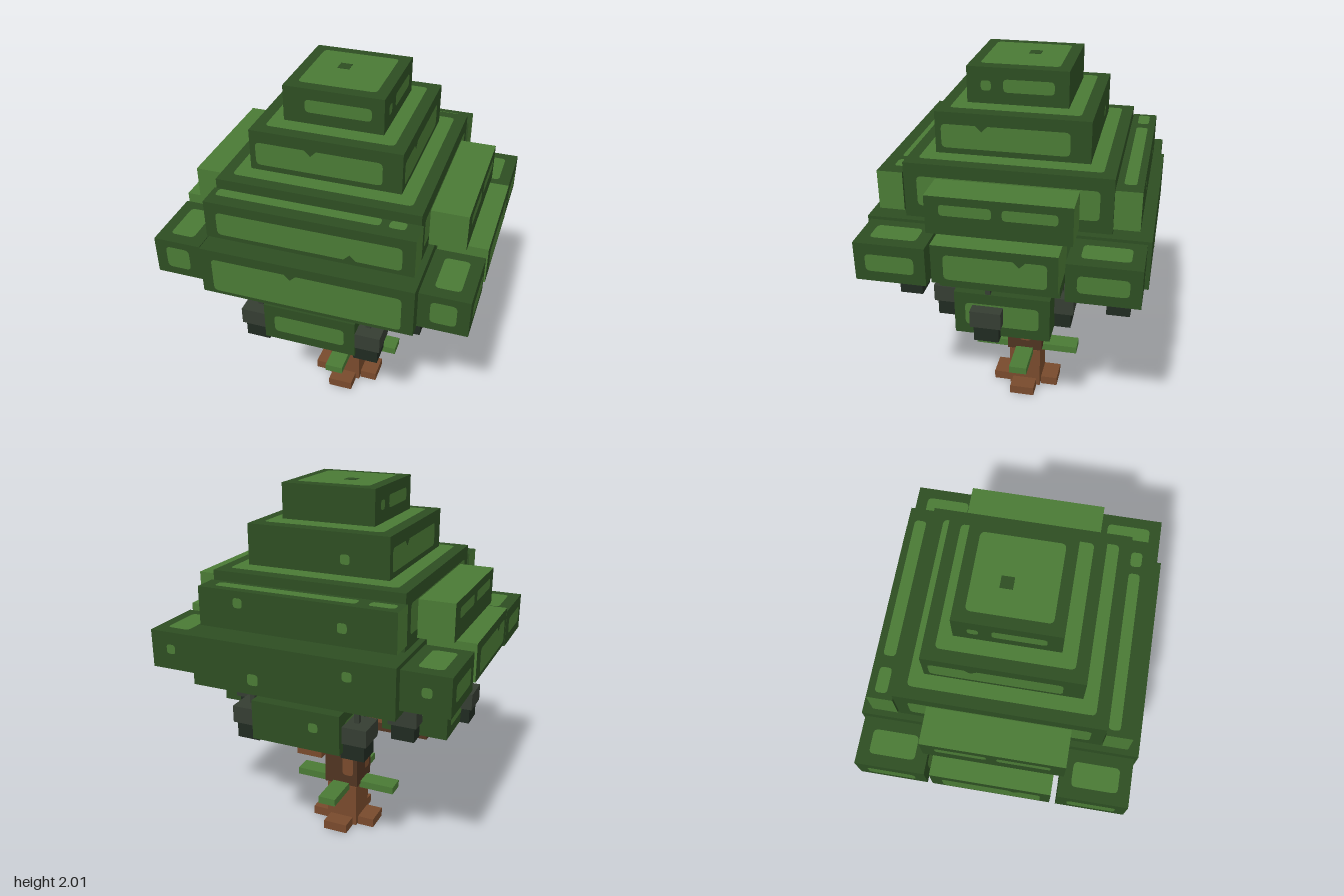
import * as THREE from 'three';

const mat = (name, color) => Object.assign(new THREE.MeshStandardMaterial({ color }), { name });
const darkLeaf = mat('dark leaf green', 0x2d4d22);
const lightLeaf = mat('light leaf green', 0x4a7a35);
const darkBark = mat('dark bark', 0x4f3321);
const lightBark = mat('light bark', 0x784a2c);
const lanternGrey = mat('lantern cap grey', 0x353d32);
const lanternDark = mat('lantern body dark', 0x202a21);

// Rounded patch, optionally with a small notch [u, 1 = top edge / -1 = bottom edge]
function patchShape(u0, u1, v0, v1, notch) {
  const r = Math.min(0.025, (u1 - u0) / 3, (v1 - v0) / 3);
  const s = new THREE.Shape();
  s.moveTo(u0 + r, v0);
  if (notch && notch[1] < 0) {
    s.lineTo(notch[0] - 0.03, v0);
    s.lineTo(notch[0], v0 + 0.03);
    s.lineTo(notch[0] + 0.03, v0);
  }
  s.lineTo(u1 - r, v0);
  s.quadraticCurveTo(u1, v0, u1, v0 + r);
  s.lineTo(u1, v1 - r);
  s.quadraticCurveTo(u1, v1, u1 - r, v1);
  if (notch && notch[1] > 0) {
    s.lineTo(notch[0] + 0.03, v1);
    s.lineTo(notch[0], v1 - 0.03);
    s.lineTo(notch[0] - 0.03, v1);
  }
  s.lineTo(u0 + r, v1);
  s.quadraticCurveTo(u0, v1, u0, v1 - r);
  s.lineTo(u0, v0 + r);
  s.quadraticCurveTo(u0, v0, u0 + r, v0);
  return s;
}

// Per side: turn, outward distance and the face limits as u (right) and v (up)
const faces = {
  front: { turn: g => g, at: b => b[5], lim: b => [b[0], b[1], b[2], b[3]] },
  back: { turn: g => g.rotateY(Math.PI), at: b => -b[4], lim: b => [-b[1], -b[0], b[2], b[3]] },
  right: { turn: g => g.rotateY(Math.PI / 2), at: b => b[1], lim: b => [-b[5], -b[4], b[2], b[3]] },
  left: { turn: g => g.rotateY(-Math.PI / 2), at: b => -b[0], lim: b => [b[4], b[5], b[2], b[3]] },
  top: { turn: g => g.rotateX(-Math.PI / 2), at: b => b[3], lim: b => [b[0], b[1], -b[5], -b[4]] },
  bottom: { turn: g => g.rotateX(Math.PI / 2), at: b => -b[2], lim: b => [b[0], b[1], b[4], b[5]] },
};

export function createModel() {
  const model = new THREE.Group();
  model.name = 'blockTree';

  // Box from limits [x0,x1,y0,y1,z0,z1] with patches per side: list of rectangles, or an inset number
  function block(name, b, material, patches = {}, patchMat = lightLeaf) {
    const group = new THREE.Group();
    group.name = name;
    const geo = new THREE.BoxGeometry(b[1] - b[0], b[3] - b[2], b[5] - b[4]);
    geo.translate((b[0] + b[1]) / 2, (b[2] + b[3]) / 2, (b[4] + b[5]) / 2);
    const box = new THREE.Mesh(geo, material);
    box.name = name + 'Block';
    group.add(box);
    for (const [side, value] of Object.entries(patches)) {
      const f = faces[side], l = f.lim(b);
      const rects = typeof value === 'number'
        ? [[l[0] + value, l[1] - value, l[2] + value, l[3] - value]] : value;
      for (const [u0, u1, v0, v1, notch] of rects) {
        const g = new THREE.ShapeGeometry(patchShape(u0, u1, v0, v1, notch), 4);
        g.translate(0, 0, f.at(b) + 0.003);
        const patch = new THREE.Mesh(f.turn(g), patchMat);
        patch.name = name + 'Patch';
        group.add(patch);
      }
    }
    model.add(group);
    return group;
  }
  const spot = (u, v, r = 0.025) => [u - r, u + r, v - r, v + r];

  // Trunk
  const strip = [[0.01, 0.075, 0.33, 0.96]];
  block('lowerTrunk', [-0.09, 0.09, 0, 0.255, -0.09, 0.09], lightBark);
  block('upperTrunk', [-0.1, 0.1, 0.265, 1.0, -0.1, 0.1], darkBark,
    { front: strip, back: strip, left: strip, right: [[-0.03, 0.04, 0.33, 0.96]] }, lightBark);
  block('trunkTop', [-0.08, 0.08, 1.0, 1.045, -0.08, 0.08], lightBark);

  // Four-way roots, sprigs, branches
  for (let i = 0; i < 4; i++) {
    const arm = (name, b, m, p, pm) => { block(name, b, m, p, pm).rotation.y = i * Math.PI / 2; };
    arm('root', [0.095, 0.19, 0, 0.052, -0.07, 0.07], lightBark);
    arm('sprig', [0.095, 0.3, 0.238, 0.28, -0.05, 0.05],
      [lightLeaf, lightLeaf, lightLeaf, darkLeaf, lightLeaf, lightLeaf]);
    if (i % 2) arm('branch', [0.105, 0.5, 0.65, 0.77, -0.07, 0.07],
      [lightBark, lightBark, lightBark, darkBark, lightBark, lightBark]);
    else arm('branch', [0.105, 0.495, 0.64, 0.765, -0.07, 0.07],
      darkBark, { front: [[0.16, 0.47, 0.69, 0.75]], back: [[-0.47, -0.16, 0.69, 0.75]], right: 0.03 }, lightBark);
  }

  // Lower leaf clusters around the branches
  const cluster = (b, back) => block('lowerCluster', b, darkLeaf,
    { front: 0.055, left: 0.055, right: 0.055, top: 0.06, back,
      bottom: [spot((b[0] + b[1]) / 2 + 0.05, (b[4] + b[5]) / 2)] });
  cluster([-0.24, 0.24, 0.775, 0.985, 0.3, 0.655], [spot(0.1, 0.9)]);
  cluster([-0.24, 0.24, 0.775, 0.985, -0.655, -0.3], [spot(0.1, 0.9)]);
  cluster([0.3, 0.655, 0.75, 0.985, -0.24, 0.24], [spot(-0.45, 0.88)]);
  cluster([-0.655, -0.3, 0.75, 0.985, -0.24, 0.24], [spot(0.5, 0.88)]);

  // Wide canopy layer
  block('wideCanopy', [-0.54, 0.54, 1.04, 1.3, -0.7, 0.7], darkLeaf,
    { front: [[-0.48, 0.48, 1.06, 1.25, [-0.07, 1]]], back: [spot(0.3, 1.22), spot(-0.2, 1.12, 0.03)],
      bottom: [spot(-0.3, 0.45), spot(0.3, -0.4)] });
  // Second canopy layer with its front and back slabs
  block('secondCanopy', [-0.51, 0.51, 1.305, 1.59, -0.51, 0.51], darkLeaf,
    { top: 0.06, left: 0.065, right: 0.065 });
  const ends = [lightLeaf, lightLeaf, darkLeaf, darkLeaf, darkLeaf, darkLeaf];
  block('frontSlab', [-0.52, 0.52, 1.34, 1.54, 0.512, 0.64], ends,
    { front: [[-0.46, 0.46, 1.365, 1.49, [0.21, -1]]],
      top: [[-0.49, 0.33, -0.575, -0.518], [0.37, 0.45, -0.575, -0.518]] });
  block('backSlab', [-0.52, 0.52, 1.34, 1.54, -0.64, -0.512], ends,
    { back: [spot(0.25, 1.43), spot(-0.3, 1.48)],
      top: [[-0.49, -0.36, 0.545, 0.605], [-0.3, 0.45, 0.545, 0.605]] });
  // Third layer and crown
  const thirdSide = [[-0.35, 0.28, 1.63, 1.75, [-0.15, 1]]];
  block('thirdCanopy', [-0.38, 0.38, 1.6, 1.81, -0.38, 0.38], darkLeaf,
    { front: [[-0.35, 0.285, 1.63, 1.75, [-0.07, 1]]], left: thirdSide, right: thirdSide,
      back: [spot(0.15, 1.68)], top: 0.06 });
  const crownSide = [spot(-0.155, 1.91), [-0.07, 0.18, 1.88, 1.945]];
  block('crown', [-0.25, 0.25, 1.82, 2, -0.25, 0.25], darkLeaf,
    { front: [[-0.14, 0.19, 1.88, 1.945]], left: crownSide, right: crownSide, top: 0.055 });
  block('crownTopSpot', [-0.065, -0.005, 1.998, 2.005, -0.065, -0.005], darkLeaf);

  // Side pieces and corner blocks, mirrored left and right
  for (const s of [1, -1]) {
    const xs = (a, b) => (s > 0 ? [a, b] : [-b, -a]);
    const out = s > 0 ? 'right' : 'left';
    const outerDark = [0, 1, 2, 3, 4, 5].map(i => (i === (s > 0 ? 0 : 1) || i === 3 ? darkLeaf : lightLeaf));
    block('sideInner', [...xs(0.545, 0.7), 1.04, 1.3, -0.295, 0.295], darkLeaf,
      { [out]: [[-0.24, 0.24, 1.07, 1.2]] });
    block('sideOuter', [...xs(0.55, 0.8), 1.12, 1.32, -0.3, 0.3], outerDark,
      { [out]: [[-0.24, 0.25, 1.145, 1.275, [0.12, 1]]] });
    block('sideUpper', [...xs(0.515, 0.7), 1.325, 1.52, -0.35, 0.35], outerDark,
      { [out]: [[-0.28, -0.03, 1.425, 1.48], [0.02, 0.28, 1.425, 1.48]] });
    for (const z of [0.33, -0.68]) {
      block('cornerLeaf', [...xs(0.55, 0.795), 1.09, 1.29, z, z + 0.35], darkLeaf,
        { front: [[...xs(0.61, 0.735), 1.135, 1.255]], [out]: 0.055, top: 0.06,
          back: [spot(-s * 0.68, 1.2)], bottom: [spot(s * 0.66, z + 0.17)] });
    }
  }

  // Hanging lanterns
  for (const s of [1, -1]) {
    for (const [px, z] of [[0.29, 0.575], [0.445, 0.31], [0.64, 0.07], [0.445, -0.26], [0.29, -0.55]]) {
      const x = s * px;
      const cube = (name, w, y0, y1, m) =>
        block(name, [x - w / 2, x + w / 2, y0, y1, z - w / 2, z + w / 2], m);
      cube('lanternRod', 0.026, 0.92, 1.04, lanternGrey);
      cube('lanternCap', 0.155, 0.83, 0.92, lanternGrey);
      cube('lanternBody', 0.125, 0.743, 0.83, lanternDark);
    }
  }
  return model;
}
